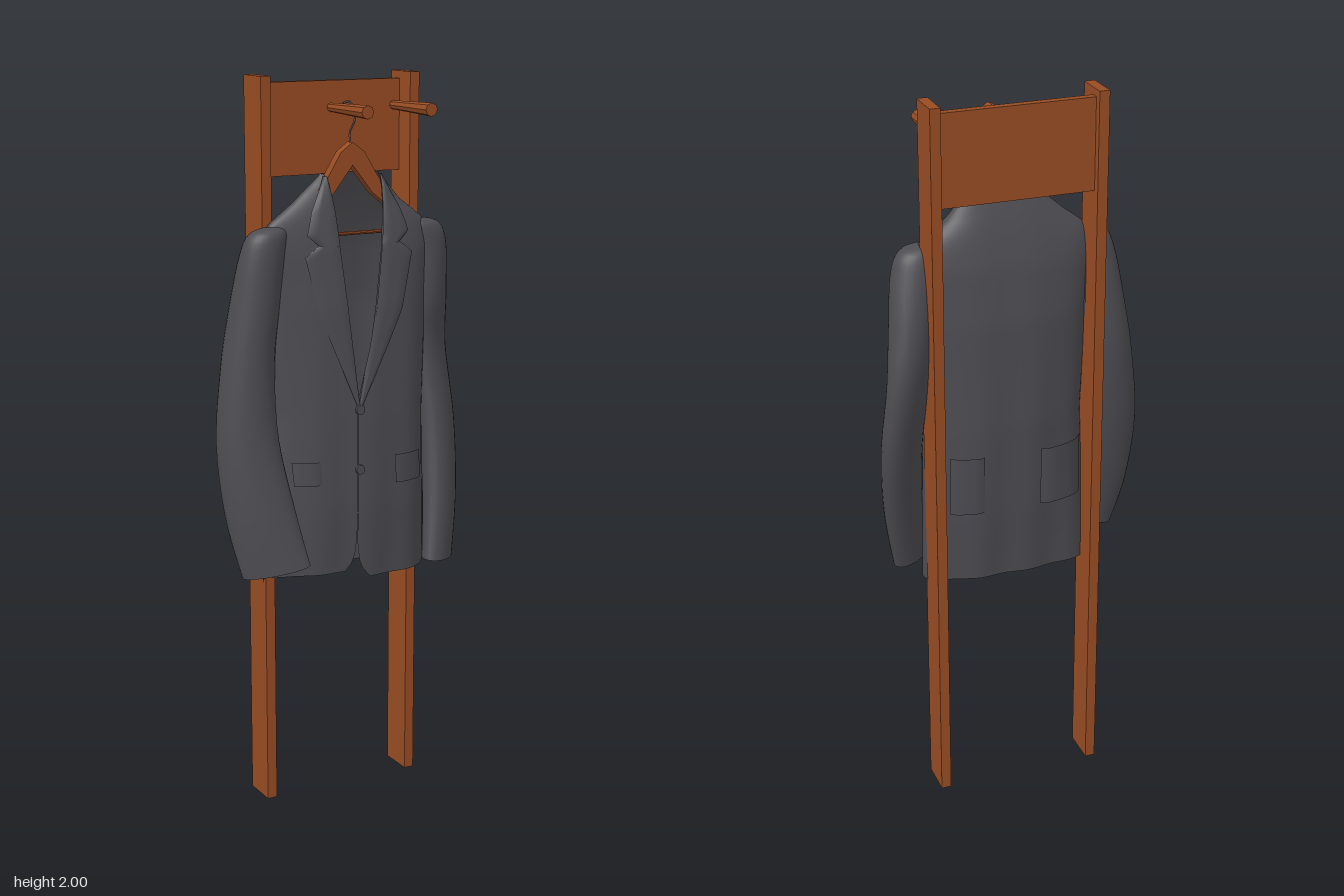
import * as THREE from 'three';

const wood = new THREE.MeshStandardMaterial({ color: 0x984c23, flatShading: true });
wood.name = 'brown wood';
const cloth = new THREE.MeshStandardMaterial({ color: 0x4d4c51, side: THREE.DoubleSide });
cloth.name = 'charcoal cloth';

// Linear lookup in a table whose first column is y, sorted from top to bottom.
function at(table, y) {
  let i = 0;
  while (i < table.length - 2 && y < table[i + 1][0]) i++;
  const a = table[i], b = table[i + 1];
  const k = THREE.MathUtils.clamp((a[0] - y) / (a[0] - b[0]), 0, 1);
  return a.map((v, j) => v + (b[j] - v) * k);
}

// Surface through a grid of points; point(u, v) returns [x, y, z].
function surface(nu, nv, point) {
  const pos = [], idx = [];
  for (let j = 0; j <= nv; j++) for (let i = 0; i <= nu; i++) pos.push(...point(i / nu, j / nv));
  for (let j = 0; j < nv; j++) for (let i = 0; i < nu; i++) {
    const a = j * (nu + 1) + i, b = a + nu + 1;
    idx.push(a, b, a + 1, a + 1, b, b + 1);
  }
  const g = new THREE.BufferGeometry();
  g.setAttribute('position', new THREE.Float32BufferAttribute(pos, 3));
  g.setIndex(idx);
  g.computeVertexNormals();
  return g;
}

// Jacket body: y, right side x, left side x, front z, back z
const BODY = [
  [1.745, -0.065, 0.105, 0.02, -0.028],
  [1.67, -0.15, 0.17, 0.035, -0.055],
  [1.61, -0.23, 0.25, 0.045, -0.072],
  [1.55, -0.24, 0.265, 0.055, -0.087],
  [1.4, -0.22, 0.25, 0.07, -0.105],
  [1.1, -0.205, 0.24, 0.08, -0.11],
  [0.85, -0.22, 0.245, 0.08, -0.098],
  [0.65, -0.245, 0.25, 0.07, -0.08],
];
// Front opening: y, right edge x, left edge x
const OPENING = [
  [1.745, -0.06, 0.1], [1.7, -0.052, 0.098], [1.55, -0.04, 0.08], [1.3, -0.015, 0.04],
  [1.15, 0, 0.001], [0.75, 0, 0.001], [0.68, -0.006, 0.01], [0.645, -0.03, 0.04],
];

function bodyZ(x, y, front) {
  const [, x0, x1, zf, zb] = at(BODY, y);
  const t = Math.min(1, Math.abs((x - (x0 + x1) / 2) / ((x1 - x0) / 2)));
  const mid = -0.01;
  const depth = front ? zf + 0.08 * x : zb; // the left front hangs further forward
  return mid + (depth - mid) * Math.sqrt(1 - t ** 2.6);
}

function bodyGeometry() {
  return surface(72, 44, (u, v) => {
    const yRow = 1.745 - 1.1 * v;
    const [, x0, x1] = at(BODY, yRow), [, g0, g1] = at(OPENING, yRow);
    const c = (x0 + x1) / 2, h = (x1 - x0) / 2;
    const angle = (x) => Math.asin(THREE.MathUtils.clamp((x - c) / h, -1, 1));
    // Left front edge, round the back, to the right front edge
    const a0 = angle(g1), a1 = Math.PI * 2 + angle(g0);
    const a = a0 + (a1 - a0) * u;
    const front = Math.cos(a) > 0;
    const x = c + h * Math.sin(a);
    // The right front hangs a little shorter
    const lift = front && x < 0 ? 0.02 * v ** 4 : 0;
    const fold = 0.004 * v * Math.sin(x * 45);
    return [x, yRow + lift, bodyZ(x, yRow, front) + fold];
  });
}

// Thin panel lying on the body: rows of y, x0, x1
function panelGeometry(rows, lift, front = true) {
  const top = rows[0][0], bottom = rows[rows.length - 1][0];
  return surface(6, 24, (u, v) => {
    const y = top + (bottom - top) * v;
    const [, x0, x1] = at(rows, y);
    const x = x0 + (x1 - x0) * u;
    const edge = Math.min(1, 6 * Math.min(u, 1 - u));
    return [x, y, bodyZ(x, y, front) + (front ? 1 : -1) * lift * (0.5 + 0.5 * edge)];
  });
}

// Sleeve rows: y, centre x, centre z, half width, half depth, shear of z along x
const LEFT_SLEEVE = [
  [1.615, 0.215, -0.005, 0.01, 0.012, 0], [1.6, 0.24, -0.005, 0.05, 0.04, 0],
  [1.54, 0.255, -0.012, 0.063, 0.055, 0], [1.4, 0.27, -0.028, 0.067, 0.07, -0.3],
  [1.25, 0.288, -0.045, 0.068, 0.063, -0.5], [1.05, 0.302, -0.015, 0.067, 0.063, -0.55],
  [0.85, 0.288, 0.03, 0.063, 0.056, -0.5], [0.67, 0.258, 0.07, 0.058, 0.046, -0.5],
];
const RIGHT_SLEEVE = [
  [1.615, -0.2, -0.005, 0.01, 0.012, 0], [1.6, -0.222, -0.005, 0.05, 0.04, 0],
  [1.54, -0.238, -0.01, 0.062, 0.054, 0], [1.4, -0.258, -0.02, 0.068, 0.065, 0],
  [1.25, -0.278, -0.022, 0.073, 0.068, 0], [1.05, -0.29, -0.003, 0.082, 0.062, 0.15],
  [0.85, -0.272, 0.035, 0.088, 0.052, 0.3], [0.7, -0.245, 0.072, 0.084, 0.035, 0.4],
];
function sleeveGeometry(rows, cuffSlant) {
  const curve = (k) => new THREE.SplineCurve(rows.map((r) => new THREE.Vector2(r[0], r[k])));
  const curves = [1, 2, 3, 4, 5].map(curve);
  return surface(28, 32, (u, v) => {
    const [cx, cz, rx, rz, shear] = curves.map((c) => c.getPoint(v).y);
    const a = u * Math.PI * 2, dx = rx * Math.cos(a);
    const y = curves[0].getPoint(v).x + cuffSlant * dx * v ** 4;
    return [cx + dx, y, cz + rz * Math.sin(a) + shear * dx];
  });
}

export function createModel() {
  const model = new THREE.Group();
  const add = (name, geometry, material, x = 0, y = 0, z = 0) => {
    const mesh = new THREE.Mesh(geometry, material);
    mesh.name = name;
    mesh.position.set(x, y, z);
    model.add(mesh);
    return mesh;
  };

  // Stand
  add('rightPost', new THREE.BoxGeometry(0.028, 2, 0.1), wood, -0.216, 1, -0.074);
  add('leftPost', new THREE.BoxGeometry(0.028, 2, 0.1), wood, 0.229, 1, -0.074);
  add('backBoard', new THREE.BoxGeometry(0.42, 0.245, 0.022), wood, 0.007, 1.858, -0.092);
  for (const x of [0.004, 0.195]) {
    const peg = new THREE.CylinderGeometry(0.018, 0.012, 0.2, 8).rotateX(Math.PI / 2);
    add('peg', peg, wood, x, 1.91, 0.021);
  }

  // Hanger
  const arms = new THREE.Shape([
    [0.02, 1.825], [-0.015, 1.8], [-0.055, 1.735], [-0.18, 1.605], [-0.18, 1.585], [-0.04, 1.69],
    [0.02, 1.765], [0.08, 1.69], [0.21, 1.585], [0.21, 1.605], [0.095, 1.735], [0.055, 1.8],
  ].map(([x, y]) => new THREE.Vector2(x, y)));
  add('hangerArms', new THREE.ExtrudeGeometry(arms, { depth: 0.028, bevelEnabled: false }), wood, 0, 0, -0.016);
  add('hangerBar', new THREE.CylinderGeometry(0.005, 0.005, 0.36, 8).rotateZ(Math.PI / 2), wood, 0.015, 1.583, -0.005);
  const hook = new THREE.CatmullRomCurve3([
    [0.02, 1.815, 0], [0.02, 1.85, -0.004], [0.025, 1.88, 0.012], [0.022, 1.91, 0.015],
    [0.008, 1.931, 0.012], [-0.008, 1.927, 0.01],
  ].map((p) => new THREE.Vector3(...p)));
  add('hangerHook', new THREE.TubeGeometry(hook, 24, 0.003, 6), cloth);

  // Jacket
  add('jacketBody', bodyGeometry(), cloth);
  add('leftSleeve', sleeveGeometry(LEFT_SLEEVE, -0.1), cloth);
  add('rightSleeve', sleeveGeometry(RIGHT_SLEEVE, 0.2), cloth);

  // Collar and notched lapels
  add('rightCollar', panelGeometry([[1.74, -0.066, -0.058], [1.65, -0.112, -0.047], [1.59, -0.13, -0.043], [1.56, -0.095, -0.041]], 0.012), cloth);
  add('leftCollar', panelGeometry([[1.74, 0.099, 0.106], [1.65, 0.092, 0.148], [1.59, 0.085, 0.165], [1.56, 0.081, 0.13]], 0.012), cloth);
  add('rightLapel', panelGeometry([[1.57, -0.09, -0.042], [1.535, -0.138, -0.039], [1.38, -0.105, -0.024], [1.13, -0.004, 0.004]], 0.009), cloth);
  add('leftLapel', panelGeometry([[1.57, 0.082, 0.125], [1.535, 0.078, 0.175], [1.38, 0.055, 0.135], [1.13, 0, 0.01]], 0.009), cloth);

  // Pocket flaps, and pocket bags on the back
  add('rightPocketFlap', panelGeometry([[0.985, -0.18, -0.105], [0.92, -0.175, -0.105]], 0.009), cloth);
  add('leftPocketFlap', panelGeometry([[0.985, 0.11, 0.2], [0.905, 0.115, 0.21]], 0.009), cloth);
  add('rightPocketBag', panelGeometry([[1.03, -0.19, -0.06], [0.86, -0.19, -0.06]], 0.015, false), cloth);
  add('leftPocketBag', panelGeometry([[1.03, 0.1, 0.19], [0.86, 0.1, 0.19]], 0.012, false), cloth);

  // Buttons
  for (const y of [1.12, 0.955]) {
    const button = new THREE.CylinderGeometry(0.013, 0.013, 0.008, 14).rotateX(Math.PI / 2);
    add('frontButton', button, cloth, 0.004, y, bodyZ(0.004, y, true) + 0.005);
  }
  for (let i = 0; i < 3; i++) {
    const y = 0.73 + i * 0.03;
    add('leftCuffButton', new THREE.SphereGeometry(0.007, 10, 8), cloth, 0.322 + i * 0.006, y, 0.035 - i * 0.007);
    add('rightCuffButton', new THREE.SphereGeometry(0.007, 10, 8), cloth, -0.328 - i * 0.005, y, 0.035 - i * 0.006);
  }
  return model;
}
